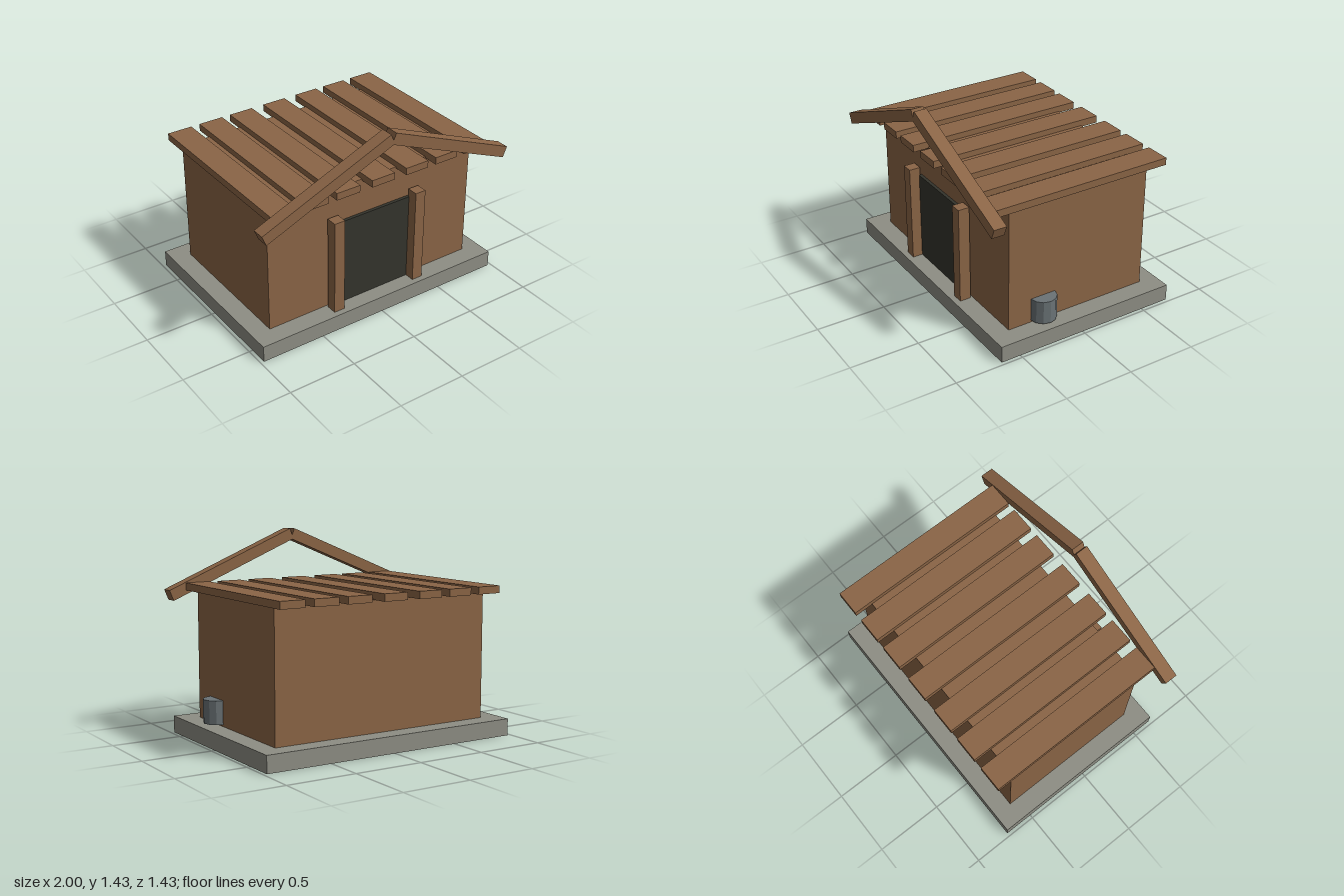
import * as THREE from 'three';

const material = (name, color) => {
  const m = new THREE.MeshStandardMaterial({ color });
  m.name = name;
  return m;
};

export function createModel() {
  const wood = material('brown wood', 0x8b6546);
  const stone = material('grey stone', 0x8e8e84);
  const dark = material('dark opening', 0x34342c);
  const metal = material('blue grey metal', 0x6b7376);
  const hut = new THREE.Group();
  hut.name = 'hut';

  // Box given by its minimum and maximum along each axis
  const box = (name, mat, [x0, x1], [y0, y1], [z0, z1]) => {
    const mesh = new THREE.Mesh(new THREE.BoxGeometry(x1 - x0, y1 - y0, z1 - z0), mat);
    mesh.position.set((x0 + x1) / 2, (y0 + y1) / 2, (z0 + z1) / 2);
    mesh.name = name;
    hut.add(mesh);
    return mesh;
  };

  // Foundation, walls and doorway
  box('foundation', stone, [-0.975, 0.975], [0, 0.12], [-0.715, 0.645]);
  box('walls', wood, [-0.838, 0.838], [0.12, 1.03], [-0.58, 0.505]);
  box('doorway', dark, [-0.3, 0.3], [0.12, 0.77], [0.48, 0.528]);

  // Roof planks
  for (const x of [-0.782, -0.532, -0.282, 0, 0.282, 0.532, 0.782]) {
    box('roofPlank', wood, [x - 0.092, x + 0.092], [1.02, 1.072], [-0.715, 0.62]);
  }

  // Door posts and sloping gable beams, mirrored
  for (const side of [-1, 1]) {
    const x = side * 0.336;
    box('doorPost', wood, [x - 0.041, x + 0.041], [0.12, 0.83], [0.52, 0.602]);

    const beam = new THREE.Mesh(new THREE.BoxGeometry(1.06, 0.081, 0.093), wood);
    beam.name = 'gableBeam';
    beam.position.set(side * 0.494, 1.19, 0.667);
    beam.rotation.z = -side * THREE.MathUtils.degToRad(22.5);
    hut.add(beam);
  }

  // Barrel half sunk into the left wall
  const barrelGeometry = new THREE.CylinderGeometry(0.096, 0.096, 0.168, 12).toNonIndexed();
  barrelGeometry.computeVertexNormals();
  const barrel = new THREE.Mesh(barrelGeometry, metal);
  barrel.name = 'barrel';
  barrel.position.set(0.836, 0.218, 0.236);
  hut.add(barrel);

  return hut;
}
